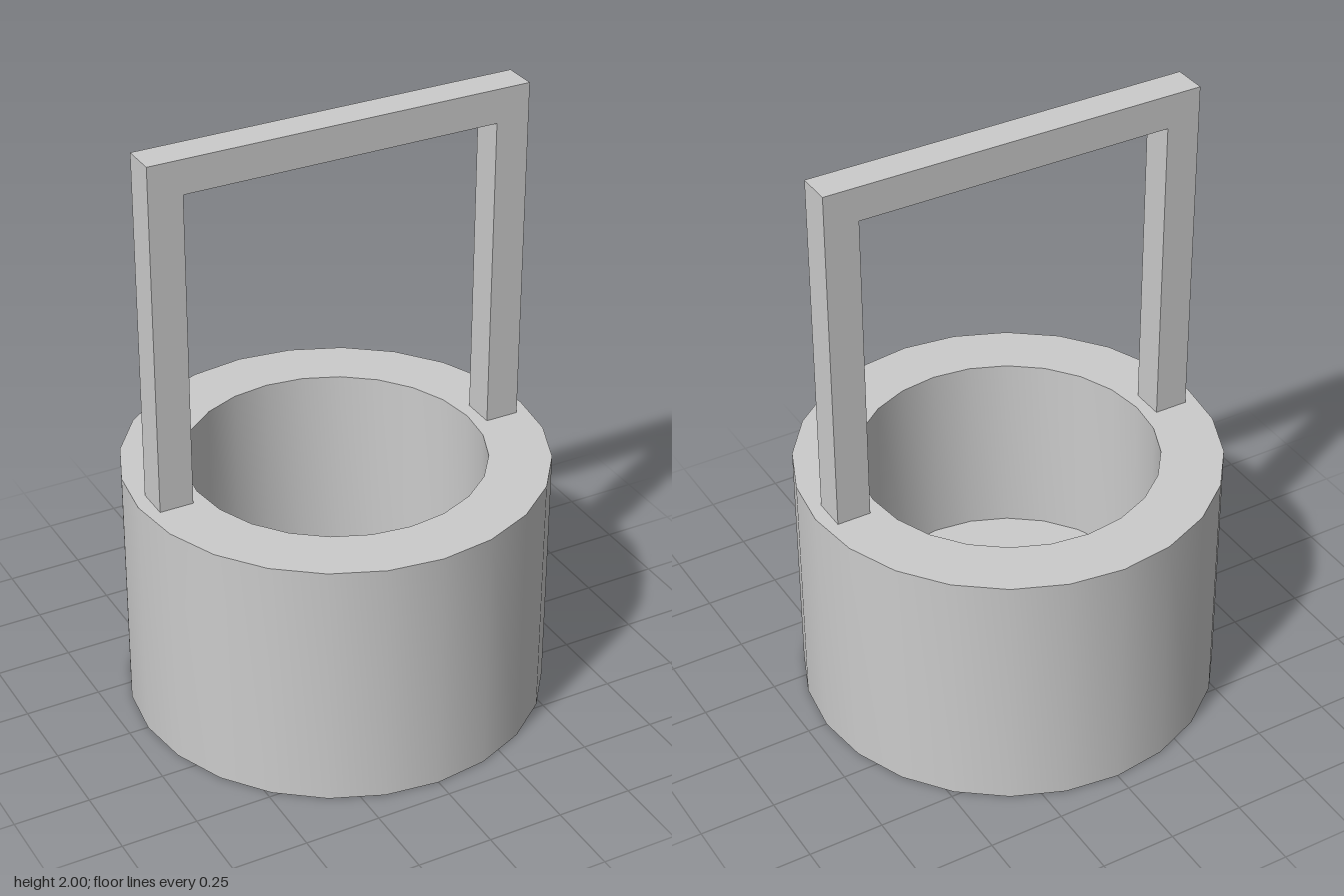
import * as THREE from 'three';
import { toCreasedNormals } from 'three/addons/utils/BufferGeometryUtils.js';

const RADIUS = 0.685, INNER = 0.485, RIM = 0.84, FLOOR = 0.2;
const HANDLE = 0.637, BAR = 0.112, TOP = 2;

export function createModel() {
  const group = new THREE.Group();
  const material = new THREE.MeshStandardMaterial({ color: 0xcccccc });

  const add = (name, geometry) => {
    const mesh = new THREE.Mesh(geometry, material);
    mesh.name = name;
    group.add(mesh);
  };

  // Thick-walled round bucket: underside, outer wall, rim, inner wall, floor
  const profile = [
    [0, 0], [RADIUS, 0], [RADIUS, RIM], [INNER, RIM], [INNER, FLOOR], [0, FLOOR],
  ].map(([r, y]) => new THREE.Vector2(r, y));
  add('bucket', toCreasedNormals(new THREE.LatheGeometry(profile, 24), 0.6));

  // Square-section handle: an upside-down U standing on the rim
  const inner = HANDLE - BAR;
  const outline = new THREE.Shape([
    [-HANDLE, RIM], [-inner, RIM], [-inner, TOP - BAR], [inner, TOP - BAR],
    [inner, RIM], [HANDLE, RIM], [HANDLE, TOP], [-HANDLE, TOP],
  ].map(([x, y]) => new THREE.Vector2(x, y)));
  const handle = new THREE.ExtrudeGeometry(outline, { depth: BAR, bevelEnabled: false });
  handle.translate(0, 0, -BAR / 2);
  add('handle', handle);

  return group;
}
